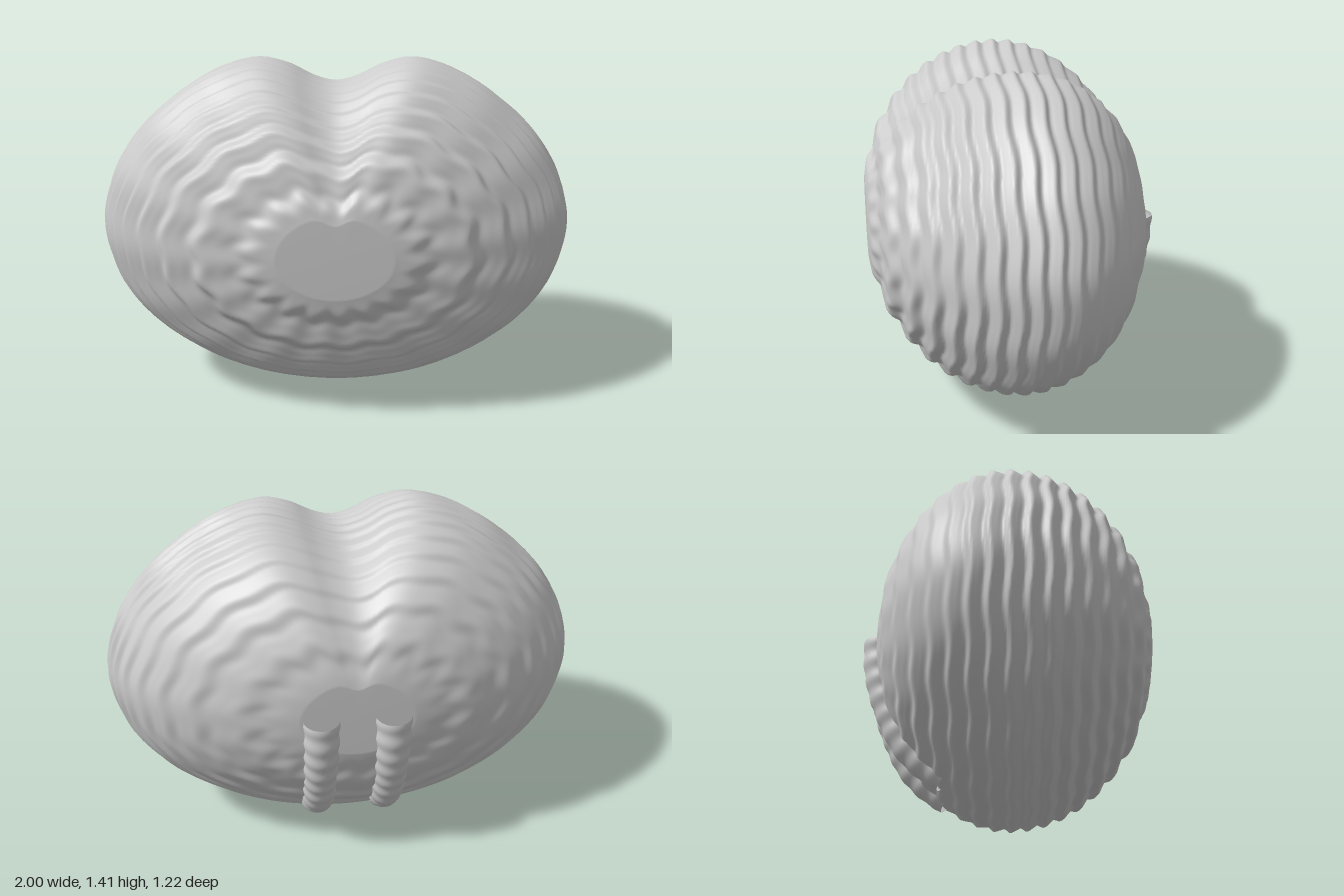
import * as THREE from 'three';

const CENTRE_Y = 0.735;

// Two-lobed outline of the widest slice: right half, bottom to top, then mirrored
function outlinePoints(count) {
  const half = [
    [0, 0], [0.2, 0.015], [0.4, 0.06], [0.6, 0.145], [0.8, 0.285], [0.93, 0.45],
    [0.985, 0.6], [1, 0.735], [0.975, 0.86], [0.92, 0.99], [0.8, 1.15], [0.6, 1.31],
    [0.45, 1.385], [0.32, 1.412], [0.2, 1.385], [0.1, 1.335], [0, 1.31],
  ];
  const all = [...half, ...half.slice(1, -1).reverse().map(([x, y]) => [-x, y])];
  const curve = new THREE.CatmullRomCurve3(
    all.map(([x, y]) => new THREE.Vector3(x, y - CENTRE_Y, 0)), true, 'centripetal');
  return curve.getSpacedPoints(count).slice(0, count);
}

// Domed depth of the body; the front half is deeper than the back
const depth = (phi) => Math.sin(phi) * (phi > 0 ? 0.62 : 0.565);

function bodyGeometry() {
  const cols = 160, rows = 200, limit = 1.34;
  const outline = outlinePoints(cols);
  const positions = [], index = [];
  const addRing = (scale, z) => outline.forEach((p, j) => {
    positions.push(p.x * scale(j), p.y * scale(j) + CENTRE_Y, z(j));
  });

  for (let i = 0; i <= rows; i++) {
    const phi = THREE.MathUtils.lerp(-limit, limit, i / rows);
    const z = depth(phi);
    // Ripples are stronger towards the front and die out at the flat ends
    const fade = THREE.MathUtils.smoothstep(limit - Math.abs(phi), 0, 0.2);
    const amp = THREE.MathUtils.lerp(0.005, 0.011, THREE.MathUtils.smoothstep(z, -0.3, 0.05)) * fade;
    const ripple = (j) => {
      const a = (j / cols) * Math.PI * 2;
      const wave = (z / 0.073) * Math.PI * 2 + 0.5 * Math.sin(18 * a);
      return amp * (Math.sin(wave) + 0.25 * Math.sin(2 * wave));
    };
    addRing((j) => 0.988 * Math.cos(phi) + ripple(j) * Math.cos(phi),
      (j) => z + ripple(j) * Math.sin(phi));
  }
  for (let i = 0; i < rows; i++) {
    for (let j = 0; j < cols; j++) {
      const k = (j + 1) % cols;
      const a = i * cols + j, b = i * cols + k, c = a + cols, d = b + cols;
      index.push(a, b, c, b, d, c);
    }
  }
  // Flat ends
  const back = positions.length / 3;
  positions.push(0, CENTRE_Y, depth(-limit), 0, CENTRE_Y, depth(limit));
  for (let j = 0; j < cols; j++) {
    const k = (j + 1) % cols, last = rows * cols;
    index.push(back, k, j, back + 1, last + j, last + k);
  }
  const geometry = new THREE.BufferGeometry();
  geometry.setAttribute('position', new THREE.Float32BufferAttribute(positions, 3));
  geometry.setIndex(index);
  geometry.computeVertexNormals();
  return geometry;
}

// Open, slightly wrinkled tube hugging the back and sinking into the underside
function stemGeometry(side) {
  const path = new THREE.CatmullRomCurve3([
    [0.145, 0.735, -0.54], [0.145, 0.62, -0.535], [0.145, 0.5, -0.51], [0.145, 0.38, -0.465],
    [0.145, 0.28, -0.415], [0.145, 0.2, -0.345], [0.145, 0.13, -0.25],
  ].map(([x, y, z]) => new THREE.Vector3(x * side, y, z)));
  const rings = 80, sides = 24;
  const geometry = new THREE.TubeGeometry(path, rings, 0.073, sides, false);
  const pos = geometry.attributes.position;
  const p = new THREE.Vector3();
  for (let i = 0; i <= rings; i++) {
    const t = i / rings;
    const c = path.getPointAt(t);
    const swell = 1 + 0.035 * Math.sin(t * 55) - 0.1 * t;
    for (let j = 0; j <= sides; j++) {
      const n = i * (sides + 1) + j;
      p.fromBufferAttribute(pos, n).sub(c).multiplyScalar(swell).add(c);
      pos.setXYZ(n, p.x, Math.min(p.y, 0.738), p.z);
    }
  }
  geometry.computeVertexNormals();
  return geometry;
}

export function createModel() {
  const model = new THREE.Group();
  model.name = 'ripplyTwoLobedBody';
  const material = new THREE.MeshStandardMaterial({ color: 0xcccccc });
  const openMaterial = new THREE.MeshStandardMaterial({ color: 0xcccccc, side: THREE.DoubleSide });

  const add = (name, geometry, mat) => {
    const mesh = new THREE.Mesh(geometry, mat);
    mesh.name = name;
    model.add(mesh);
  };

  add('body', bodyGeometry(), material);
  add('leftStem', stemGeometry(1), openMaterial);
  add('rightStem', stemGeometry(-1), openMaterial);
  return model;
}
